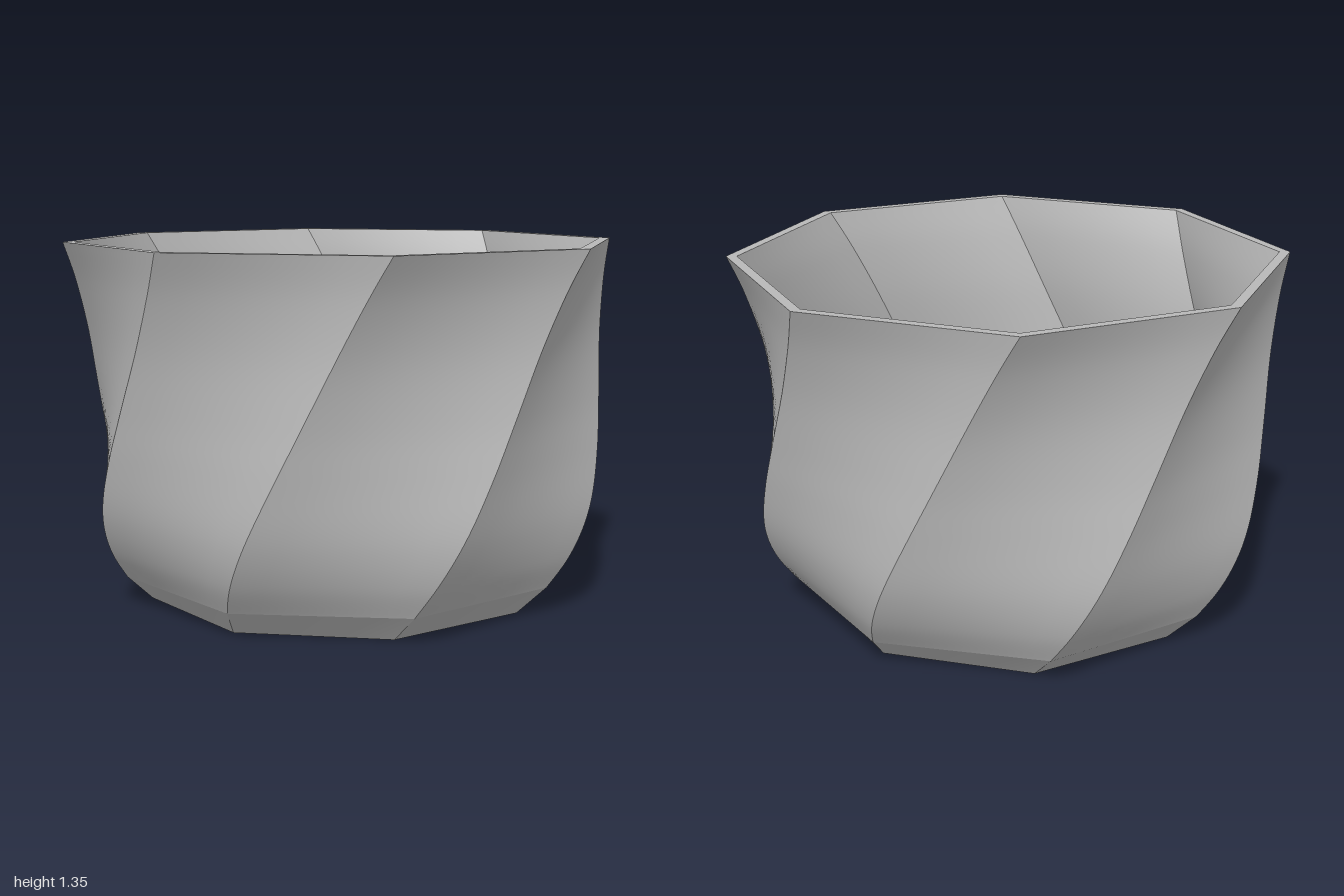
import * as THREE from 'three';

const SIDES = 8, HEIGHT = 1.35, FLOOR = 0.07;
const STEP = (Math.PI * 2) / SIDES;

// corner k of the twisted octagon with radius r at height y
function corner(r, y, k) {
  const a = THREE.MathUtils.degToRad(112.5 - 40 * y / HEIGHT) + k * STEP;
  return [r * Math.cos(a), r * Math.sin(a)];
}

// twisted wall through [radius, y] rows: smooth along each side, sharp at the corners
function wall(rows, outward) {
  const pos = [], idx = [], across = 6;
  for (let k = 0; k < SIDES; k++) {
    const base = pos.length / 3;
    rows.forEach(([r, y], i) => {
      const [x0, z0] = corner(r, y, k), [x1, z1] = corner(r, y, k + 1);
      for (let j = 0; j <= across; j++) {
        const t = j / across;
        pos.push(x0 + (x1 - x0) * t, y, z0 + (z1 - z0) * t);
        if (i && j) {
          const d = base + i * (across + 1) + j, c = d - 1, b = d - across - 1, a = b - 1;
          if (outward) idx.push(a, c, b, b, c, d);
          else idx.push(a, b, c, b, d, c);
        }
      }
    });
  }
  const g = new THREE.BufferGeometry();
  g.setAttribute('position', new THREE.Float32BufferAttribute(pos, 3));
  g.setIndex(idx);
  g.computeVertexNormals();
  return g;
}

// smooth profile sampled from a few [radius, y] points
function profile(points, n = 40) {
  const curve = new THREE.SplineCurve(points.map(p => new THREE.Vector2(...p)));
  return curve.getPoints(n).map(p => [p.x, p.y]);
}

// flat octagon at height y, with holes, facing up or down
function plate(r, y, holes, up) {
  const s = up ? -1 : 1;
  const ring = R => Array.from({ length: SIDES }, (_, k) => {
    const [x, z] = corner(R, y, k);
    return new THREE.Vector2(x, s * z);
  });
  const shape = new THREE.Shape(ring(r));
  for (const h of holes) {
    shape.holes.push(h.inner ? new THREE.Path(ring(h.inner))
      : new THREE.Path().absarc(h.x, 0, h.r, 0, Math.PI * 2, true));
  }
  return new THREE.ShapeGeometry(shape, 24).rotateX(s * Math.PI / 2).translate(0, y, 0);
}

export function createModel() {
  const model = new THREE.Group();
  model.name = 'twistedPlanter';
  const clay = new THREE.MeshStandardMaterial({ color: 0xb8b8b8, side: THREE.DoubleSide });
  clay.name = 'grey';
  const add = (name, geometry) => {
    const mesh = new THREE.Mesh(geometry, clay);
    mesh.name = name;
    model.add(mesh);
    return mesh;
  };

  // outer shell: bevelled foot, then the bulging twisted body
  add('foot', wall([[0.747, 0], [0.847, 0.1]], true));
  add('outerWall', wall(profile([
    [0.847, 0.1], [0.908, 0.2], [0.95, 0.31], [0.971, 0.43], [0.975, 0.6],
    [0.972, 0.78], [0.977, 1], [1.006, 1.2], [1.0485, HEIGHT],
  ]), true));

  // inner shell
  add('innerFoot', wall([[0.742, FLOOR], [0.857, 0.18]], false));
  add('innerWall', wall(profile([
    [0.857, 0.18], [0.905, 0.29], [0.93, 0.42], [0.935, 0.6],
    [0.932, 0.78], [0.937, 1], [0.966, 1.2], [1.008, HEIGHT],
  ]), false));

  // rim
  add('rim', plate(1.0485, HEIGHT, [{ inner: 1.008 }], true));

  // floor with three drain holes
  const holes = [{ x: 0, r: 0.105 }, { x: -0.46, r: 0.04 }, { x: 0.46, r: 0.04 }];
  add('floor', plate(0.742, FLOOR, holes, true));
  add('underside', plate(0.747, 0, holes, false));
  for (const { x, r } of holes) {
    const bore = [new THREE.Vector2(r, FLOOR), new THREE.Vector2(r, 0)];
    add('drainHole', new THREE.LatheGeometry(bore, 48)).position.x = x;
  }
  return model;
}
